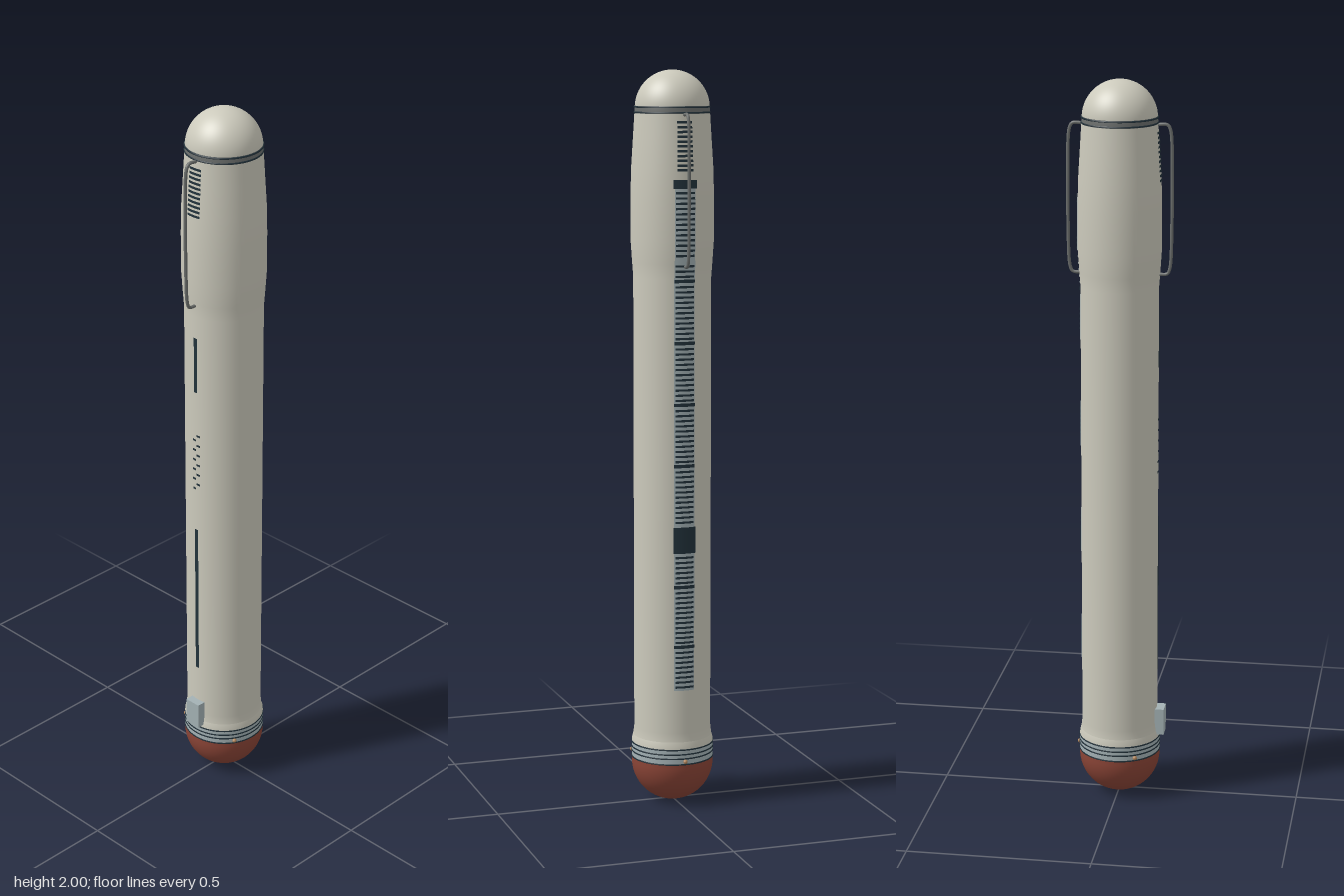
import * as THREE from 'three';

const material = (name, color, side = THREE.FrontSide) =>
  Object.assign(new THREE.MeshStandardMaterial({ color, side }), { name });

// Radius of the barrel at a height: straight tube, swollen head, tapered neck
const PROFILE = [[0.185, 0.108], [0.21, 0.105], [0.8, 0.105], [1.45, 0.105], [1.49, 0.108], [1.55, 0.112],
  [1.66, 0.112], [1.74, 0.11], [1.82, 0.105], [1.885, 0.101]];
function radiusAt(y) {
  for (let i = 1; i < PROFILE.length; i++) {
    const [y0, r0] = PROFILE[i - 1], [y1, r1] = PROFILE[i];
    if (y <= y1) return r0 + (r1 - r0) * Math.max(0, (y - y0) / (y1 - y0));
  }
  return 0.101;
}

export function createModel() {
  const model = new THREE.Group();
  model.name = 'penInstrument';
  const shell = material('warm grey shell', 0xcccabc);
  const red = material('brick red', 0x8a4436);
  const dark = material('dark ink', 0x22323b);
  const pale = material('pale blue grey', 0xa3b1b4);
  const metal = material('clip metal', 0x6b6e6c);
  const brass = material('brass', 0xb0845a);

  const add = (name, geometry, mat, parent = model) => {
    const mesh = new THREE.Mesh(geometry, mat);
    mesh.name = name;
    parent.add(mesh);
    return mesh;
  };
  const group = (name) => {
    const g = new THREE.Group();
    g.name = name;
    model.add(g);
    return g;
  };
  const lathe = (name, points, mat) =>
    add(name, new THREE.LatheGeometry(points.map(([y, r]) => new THREE.Vector2(r, y)), 64), mat);

  // Curved plate hugging the barrel on the +x (side 1) or -x (side -1) face
  const plate = (name, y0, y1, halfWidth, side, mat, lift, parent, z = 0) => {
    const a = halfWidth / 0.106;
    const g = new THREE.CylinderGeometry(radiusAt(y1) + lift, radiusAt(y0) + lift, y1 - y0,
      6, 1, true, side * (Math.PI / 2 - z / 0.106) - a, 2 * a);
    add(name, g, mat, parent).position.y = (y0 + y1) / 2;
  };

  // Barrel and end domes
  lathe('barrel', PROFILE, shell);
  add('topDome', new THREE.SphereGeometry(0.1, 64, 20, 0, Math.PI * 2, 0, Math.PI / 2), shell).position.y = 1.9;
  add('bottomDome', new THREE.SphereGeometry(0.112, 64, 20, 0, Math.PI * 2, Math.PI / 2, Math.PI / 2), red)
    .position.y = 0.112;
  lathe('bottomDomeRim', [[0.112, 0.112], [0.122, 0.112]], red);

  // Collars with dark grooves
  lathe('bottomCollar', [[0.122, 0.112], [0.165, 0.112]], pale);
  lathe('bottomShoulder', [[0.165, 0.112], [0.175, 0.111], [0.186, 0.108]], shell);
  for (const y of [0.124, 0.14, 0.152, 0.165]) {
    lathe('collarGroove', [[y - 0.0018, 0.112], [y - 0.0018, 0.1132], [y + 0.0018, 0.1132], [y + 0.0018, 0.112]], dark);
  }
  lathe('topCollar', [[1.884, 0.101], [1.905, 0.1], [1.905, 0.098]], metal);
  for (const y of [1.888, 1.902]) {
    lathe('topGroove', [[y - 0.002, 0.1], [y - 0.002, 0.1025], [y + 0.002, 0.1025], [y + 0.002, 0.1]], dark);
  }

  // Three small brass studs round the lower collar
  for (let i = 0; i < 3; i++) {
    const a = (i * Math.PI * 2) / 3;
    add('stud', new THREE.SphereGeometry(0.006, 16, 10), brass)
      .position.set(Math.cos(a) * 0.114, 0.132, Math.sin(a) * 0.114);
  }

  // Wire clips on both sides
  const bend = [[0.098, 1.883], [0.126, 1.883], [0.134, 1.87], [0.139, 1.75],
    [0.139, 1.62], [0.134, 1.5], [0.127, 1.486], [0.106, 1.484]];
  for (const s of [1, -1]) {
    const path = new THREE.CatmullRomCurve3(bend.map(([x, y]) => new THREE.Vector3(s * x, y, 0)), false, 'centripetal');
    add(s > 0 ? 'leftClip' : 'rightClip', new THREE.TubeGeometry(path, 80, 0.0045, 10), metal);
  }

  // Graduated scale on the left face
  const scale = group('leftScale');
  plate('scaleStrip', 0.33, 1.45, 0.029, 1, pale, 0.0012, scale);
  plate('scaleStripHead', 1.45, 1.5, 0.029, 1, pale, 0.0012, scale);
  plate('upperStrip', 1.5, 1.55, 0.027, 1, pale, 0.0012, scale);
  plate('upperStripHead', 1.55, 1.69, 0.027, 1, pale, 0.0012, scale);
  for (let i = 0; i < 84; i++) {
    const y = 0.337 + i * 0.0138;
    if (y > 0.7 && y < 0.79) continue;
    const major = i % 12 === 8;
    plate('scaleTick', y, y + (major ? 0.009 : 0.0058), major ? 0.029 : 0.026, 1, dark, 0.0024, scale);
  }
  for (let y = 1.51; y < 1.685; y += 0.0138) plate('upperTick', y, y + 0.0058, 0.025, 1, dark, 0.0024, scale);
  plate('darkBlock', 0.71, 0.782, 0.031, 1, dark, 0.0026, scale);
  plate('darkBand', 1.69, 1.713, 0.031, 1, dark, 0.0026, scale);

  // Fine hatching beneath both clips
  for (const s of [1, -1]) {
    const hatch = group(s > 0 ? 'leftHatch' : 'rightHatch');
    for (let y = 1.735; y < 1.87; y += 0.0125) plate('hatchLine', y, y + 0.0065, 0.021, s, dark, 0.0024, hatch);
  }

  // Slim bars and small index marks on the right face
  const marks = group('rightMarks');
  plate('longBar', 0.36, 0.81, 0.006, -1, dark, 0.0015, marks);
  plate('shortBar', 1.23, 1.39, 0.006, -1, dark, 0.0015, marks);
  for (let i = 0; i < 12; i++) {
    const y = 0.935 + i * 0.0148;
    plate('indexMark', y, y + 0.006, 0.006, -1, dark, 0.0015, marks, i % 2 ? 0.008 : -0.006);
  }

  // Small block low on the right face
  add('sideBlock', new THREE.BoxGeometry(0.03, 0.075, 0.048), pale).position.set(-0.112, 0.2125, 0);

  return model;
}
